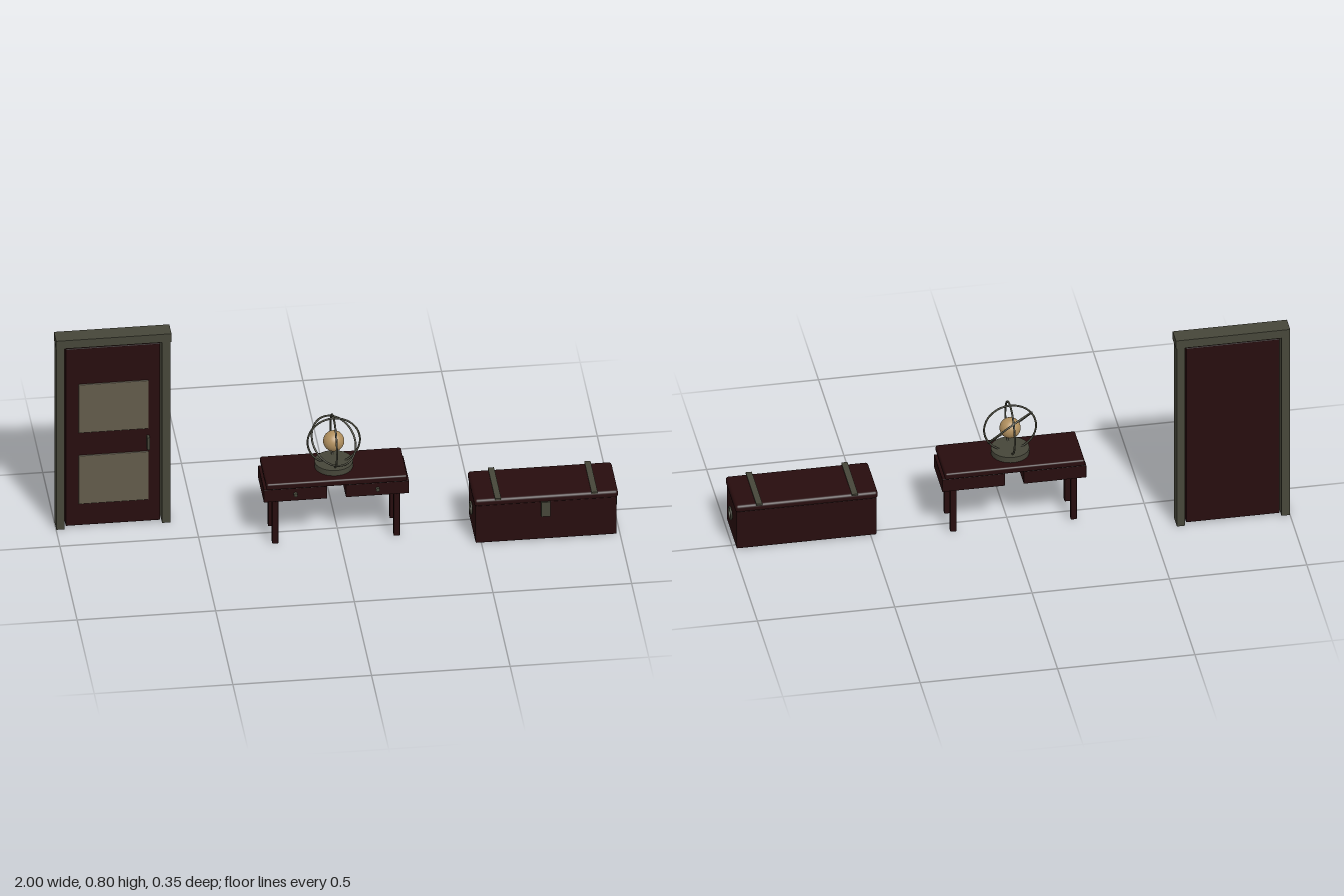
import * as THREE from 'three';
import { RoundedBoxGeometry } from 'three/addons/geometries/RoundedBoxGeometry.js';

const mat = (name, color) => {
  const m = new THREE.MeshStandardMaterial({ color });
  m.name = name;
  return m;
};

export function createModel() {
  const wood = mat('dark red wood', 0x270c0d);
  const iron = mat('grey green iron', 0x464639);
  const panelTone = mat('pale door panel', 0x625b4a);
  const tan = mat('tan globe', 0xb08f5e);

  const model = new THREE.Group();
  const group = (name) => {
    const g = new THREE.Group();
    g.name = name;
    model.add(g);
    return g;
  };
  const add = (parent, name, geometry, material, x, y, z) => {
    const m = new THREE.Mesh(geometry, material);
    m.name = name;
    m.position.set(x, y, z);
    parent.add(m);
    return m;
  };
  // Box given by its limits on each axis, with optional rounded edges
  const box = (parent, name, material, [x0, x1], [y0, y1], [z0, z1], r = 0) => {
    const size = [x1 - x0, y1 - y0, z1 - z0];
    const geo = r ? new RoundedBoxGeometry(...size, 3, r) : new THREE.BoxGeometry(...size);
    return add(parent, name, geo, material, (x0 + x1) / 2, (y0 + y1) / 2, (z0 + z1) / 2);
  };

  // Door in its frame
  const door = group('door');
  box(door, 'leftJamb', iron, [-0.618, -0.588], [0.002, 0.766], [-0.17, -0.111]);
  box(door, 'rightJamb', iron, [-0.999, -0.969], [0.002, 0.766], [-0.17, -0.111]);
  box(door, 'lintel', iron, [-1, -0.584], [0.766, 0.8], [-0.173, -0.109]);
  box(door, 'doorLeaf', wood, [-0.964, -0.623], [0.008, 0.755], [-0.16, -0.122], 0.003);
  for (const y of [0.1, 0.4])
    box(door, 'doorPanel', panelTone, [-0.918, -0.666], [y, y + 0.204], [-0.124, -0.117], 0.002);
  box(door, 'doorHandle', iron, [-0.672, -0.662], [0.319, 0.37], [-0.122, -0.104]);

  // Table with two drawers
  const table = group('table');
  const cx = -0.014, cz = 0.01;
  box(table, 'tableTop', wood, [-0.268, 0.24], [0.246, 0.272], [-0.088, 0.107], 0.007);
  for (const s of [-1, 1]) {
    const x = cx + s * 0.148;
    box(table, 'drawer', wood, [x - 0.114, x + 0.114], [0.188, 0.241], [-0.075, 0.093], 0.002);
    add(table, 'drawerKnob', new THREE.CylinderGeometry(0.007, 0.007, 0.012, 16), iron, x, 0.217, 0.099)
      .rotation.x = Math.PI / 2;
    for (const t of [-1, 1]) {
      const lx = cx + s * 0.219, lz = cz + t * 0.06;
      box(table, 'tableLeg', wood, [lx - 0.011, lx + 0.011], [0.004, 0.25], [lz - 0.011, lz + 0.011], 0.002);
    }
  }

  // Globe held in three crossed rings
  const globe = group('globe');
  add(globe, 'globeBase', new THREE.CylinderGeometry(0.069, 0.069, 0.022, 40), iron, cx, 0.284, cz);
  add(globe, 'globeBall', new THREE.SphereGeometry(0.038, 32, 20), tan, cx, 0.378, cz);
  const ringAxes = [[0, 0, 1], [1, 0, 0], [0.485, 0.667, 0.56]];
  for (const axis of ringAxes) {
    const ring = add(globe, 'globeRing', new THREE.TorusGeometry(0.0945, 0.0035, 10, 64), iron, cx, 0.378, cz);
    ring.quaternion.setFromUnitVectors(new THREE.Vector3(0, 0, 1), new THREE.Vector3(...axis).normalize());
  }

  // Chest with straps, latch and side rings
  const chest = group('chest');
  box(chest, 'chestBody', wood, [0.479, 0.988], [0.004, 0.164], [-0.029, 0.166], 0.004);
  box(chest, 'chestLid', wood, [0.474, 0.993], [0.159, 0.188], [-0.033, 0.171], 0.011);
  for (const x of [0.559, 0.907])
    box(chest, 'lidStrap', iron, [x - 0.011, x + 0.011], [0.185, 0.192], [-0.037, 0.174]);
  box(chest, 'latch', iron, [0.715, 0.747], [0.103, 0.163], [0.164, 0.175]);
  for (const x of [0.473, 0.994])
    add(chest, 'sideRing', new THREE.TorusGeometry(0.022, 0.004, 10, 32), iron, x, 0.095, 0.069)
      .rotation.y = Math.PI / 2;

  return model;
}
